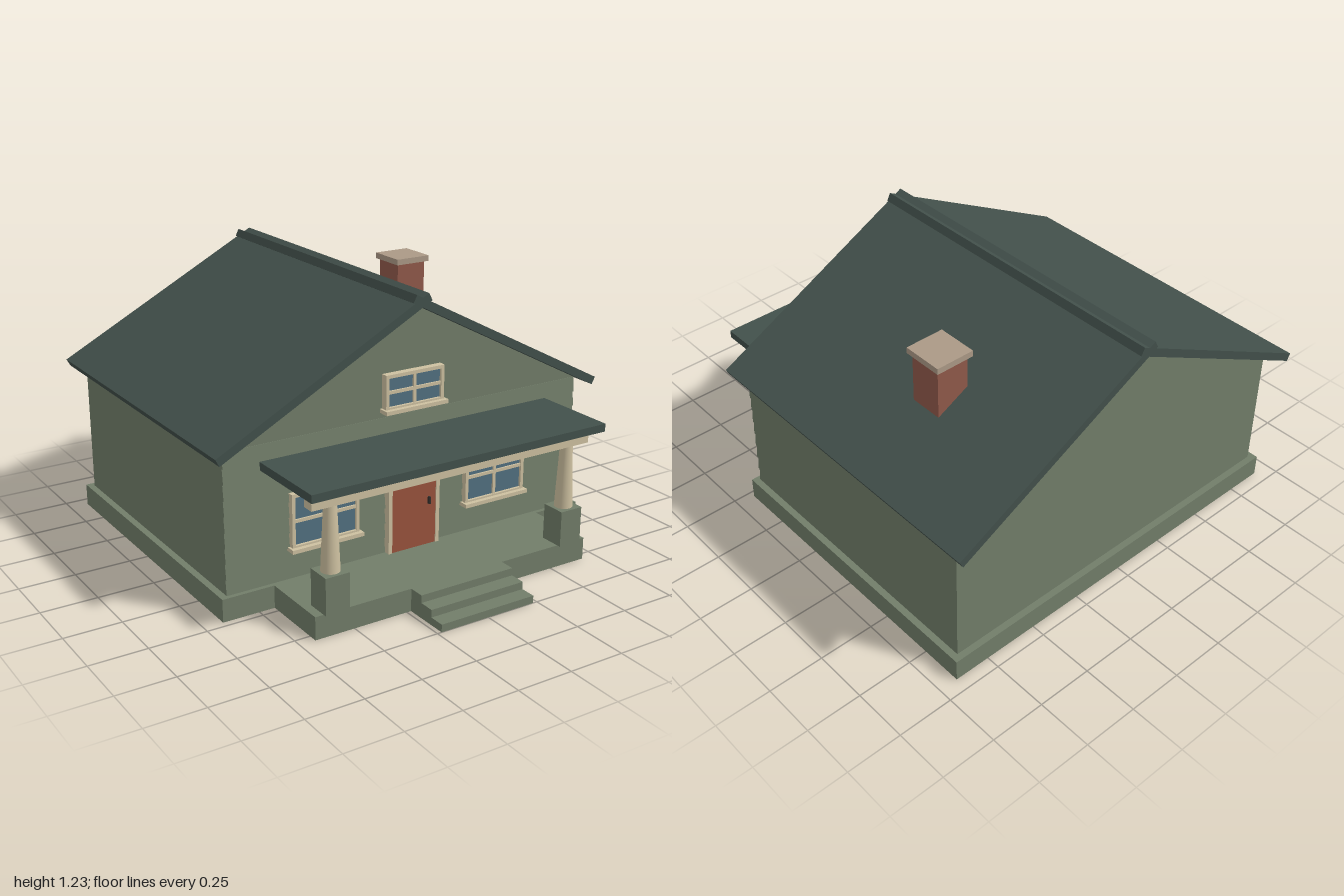
import * as THREE from 'three';

const mat = (name, color) => {
  const m = new THREE.MeshStandardMaterial({ color });
  m.name = name;
  return m;
};

export function createModel() {
  const green = mat('sage green', 0x717d69);
  const slate = mat('dark roof', 0x42504b);
  const cream = mat('cream trim', 0xcdc0a0);
  const glass = mat('window glass', 0x517080);
  const rust = mat('door red', 0x99533d);
  const brick = mat('chimney brick', 0x90594a);
  const stone = mat('chimney cap', 0xab9986);
  const dark = mat('dark metal', 0x33302c);

  const house = new THREE.Group();
  house.name = 'house';

  const add = (name, geometry, material, parent = house) => {
    const mesh = new THREE.Mesh(geometry, material);
    mesh.name = name;
    parent.add(mesh);
    return mesh;
  };
  // Box given by its limits on each axis
  const box = (name, material, x0, x1, y0, y1, z0, z1, parent = house) => {
    const mesh = add(name, new THREE.BoxGeometry(x1 - x0, y1 - y0, z1 - z0), material, parent);
    mesh.position.set((x0 + x1) / 2, (y0 + y1) / 2, (z0 + z1) / 2);
    return mesh;
  };
  const polygon = (points) => new THREE.Shape(points.map(([x, y]) => new THREE.Vector2(x, y)));
  const extrude = (shape, depth) => new THREE.ExtrudeGeometry(shape, { depth, bevelEnabled: false });

  const WALL = 0.885, EAVE = 0.706, APEX = 1.17, FRONT = 0.44, BACK = -0.91;

  // Foundation, porch floor and steps
  box('foundation', green, -0.915, 0.915, 0, 0.1, -0.94, 0.47);
  box('porchFloor', green, -0.68, 0.68, 0, 0.1, 0.47, 0.79);
  for (let i = 0; i < 3; i++) {
    box('step', green, -0.23, 0.23, 0, 0.1 - i / 30, 0.79 + i * 0.07, 0.86 + i * 0.07);
  }

  // Gabled walls
  const walls = extrude(polygon([[-WALL, 0.1], [WALL, 0.1], [WALL, EAVE], [0, APEX], [-WALL, EAVE]]), FRONT - BACK);
  add('walls', walls, green).position.z = BACK;

  // Overlapping clapboards on the front wall
  const boards = 9, boardHeight = (EAVE - 0.1) / boards;
  const board = extrude(polygon([[0, 0], [0.01, 0], [0.002, boardHeight], [0, boardHeight]]), WALL * 2);
  board.rotateY(-Math.PI / 2);
  for (let i = 0; i < boards; i++) {
    add('clapboard', board, green).position.set(WALL, 0.1 + i * boardHeight, FRONT);
  }

  // Two roof slabs that cross at the ridge
  const slope = Math.atan2(APEX - EAVE, WALL), thick = 0.036;
  const lower = 0.93 / Math.cos(slope), upper = 0.046 / Math.cos(slope);
  for (const side of [-1, 1]) {
    const slab = new THREE.BoxGeometry(lower + upper, thick, 1.515);
    slab.translate(side * (lower - upper) / 2, thick / 2, 0);
    slab.rotateZ(-side * slope);
    add(side > 0 ? 'leftRoof' : 'rightRoof', slab, slate).position.set(0, APEX, -0.2425);
  }

  // Chimney
  box('chimney', brick, 0.46, 0.61, 0.82, 1.12, -0.49, -0.34);
  box('chimneyCap', stone, 0.448, 0.625, 1.118, 1.145, -0.508, -0.325);

  // Porch roof, beam, piers and tapered columns
  box('porchRoof', slate, -0.72, 0.72, 0.6, 0.635, FRONT, 0.84);
  box('porchBeam', cream, -0.685, 0.685, 0.538, 0.58, 0.725, 0.778);
  for (const side of [-1, 1]) {
    const x = side * 0.587;
    box('pier', green, x - 0.055, x + 0.055, 0.1, 0.26, 0.695, 0.807);
    add('column', new THREE.CylinderGeometry(0.027, 0.04, 0.28, 20), cream).position.set(x, 0.4, 0.752);
  }

  // Framed window with crossing bars and a sill
  const addWindow = (name, x, y, w, h) => {
    const g = new THREE.Group();
    g.name = name;
    g.position.set(x, y, FRONT);
    house.add(g);
    const a = w / 2, b = h / 2, t = 0.015;
    const frame = polygon([[-a, -b], [a, -b], [a, b], [-a, b]]);
    frame.holes.push(polygon([[t - a, t - b], [t - a, b - t], [a - t, b - t], [a - t, t - b]]));
    add('windowFrame', extrude(frame, 0.032), cream, g);
    box('windowPane', glass, t - a, a - t, t - b, b - t, 0.012, 0.02, g);
    box('uprightBar', cream, -0.007, 0.007, t - b, b - t, 0.016, 0.028, g);
    box('crossBar', cream, t - a, a - t, -0.007, 0.007, 0.016, 0.028, g);
    box('windowSill', cream, -a - 0.01, a + 0.01, -b - 0.01, -b + 0.007, 0, 0.052, g);
  };
  addWindow('rightWindow', -0.433, 0.355, 0.32, 0.24);
  addWindow('leftWindow', 0.433, 0.355, 0.32, 0.24);
  addWindow('gableWindow', 0, 0.818, 0.29, 0.155);

  // Front door with frame, pane and handle
  box('door', rust, -0.112, 0.112, 0.1, 0.545, FRONT, 0.473);
  for (const side of [-1, 1]) {
    box('doorPost', cream, side * 0.121 - 0.009, side * 0.121 + 0.009, 0.1, 0.545, FRONT, 0.477);
  }
  box('doorLintel', cream, -0.13, 0.13, 0.545, 0.567, FRONT, 0.477);
  box('doorPane', glass, -0.07, 0.07, 0.39, 0.5, 0.472, 0.478);
  box('doorHandle', dark, 0.071, 0.08, 0.288, 0.32, 0.472, 0.485);

  return house;
}
